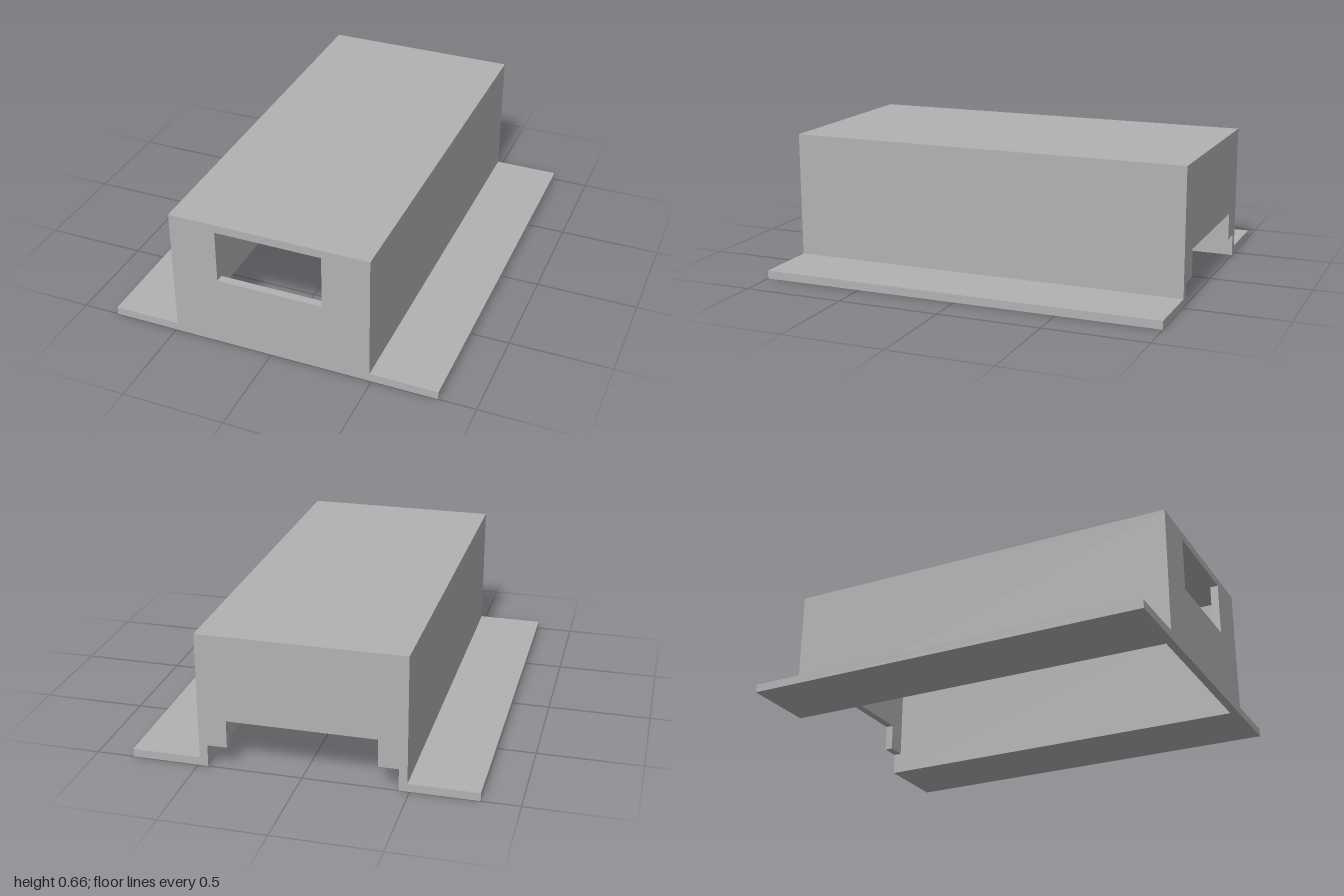
import * as THREE from 'three';

const grey = new THREE.MeshStandardMaterial({ color: 0xb2b2b2 });
grey.name = 'plain grey';

// Main dimensions
const LENGTH = 2, HEIGHT = 0.66, WALL = 0.04;
const OUTER = 0.49, INNER = OUTER - WALL, FLANGE = 0.82;
const CEILING = HEIGHT - WALL;

// Extrude an outline, given as its right half and mirrored across x = 0
function mirroredExtrusion(name, half, depth, z) {
  const other = half.map(([x, y]) => [-x, y]).reverse();
  const shape = new THREE.Shape([...half, ...other].map(([x, y]) => new THREE.Vector2(x, y)));
  const geometry = new THREE.ExtrudeGeometry(shape, { depth, bevelEnabled: false });
  geometry.translate(0, 0, z);
  const mesh = new THREE.Mesh(geometry, grey);
  mesh.name = name;
  return mesh;
}

export function createModel() {
  const model = new THREE.Group();
  model.name = 'flangedCover';

  // Open-bottomed channel with a mounting flange along each side
  model.add(mirroredExtrusion('channelWithFlanges', [
    [INNER, CEILING], [INNER, 0], [FLANGE, 0], [FLANGE, WALL], [OUTER, WALL], [OUTER, HEIGHT],
  ], LENGTH, -LENGTH / 2));

  // Front wall, its window reaching up to the ceiling
  model.add(mirroredExtrusion('frontWall', [
    [INNER, 0], [INNER, CEILING], [0.26, CEILING], [0.26, 0.355],
  ], WALL, LENGTH / 2 - WALL));

  // Back wall with a stepped opening at the bottom
  model.add(mirroredExtrusion('backWall', [
    [0.355, 0.243], [0.355, 0.108], [INNER, 0.108], [INNER, CEILING],
  ], WALL, -LENGTH / 2));

  return model;
}
